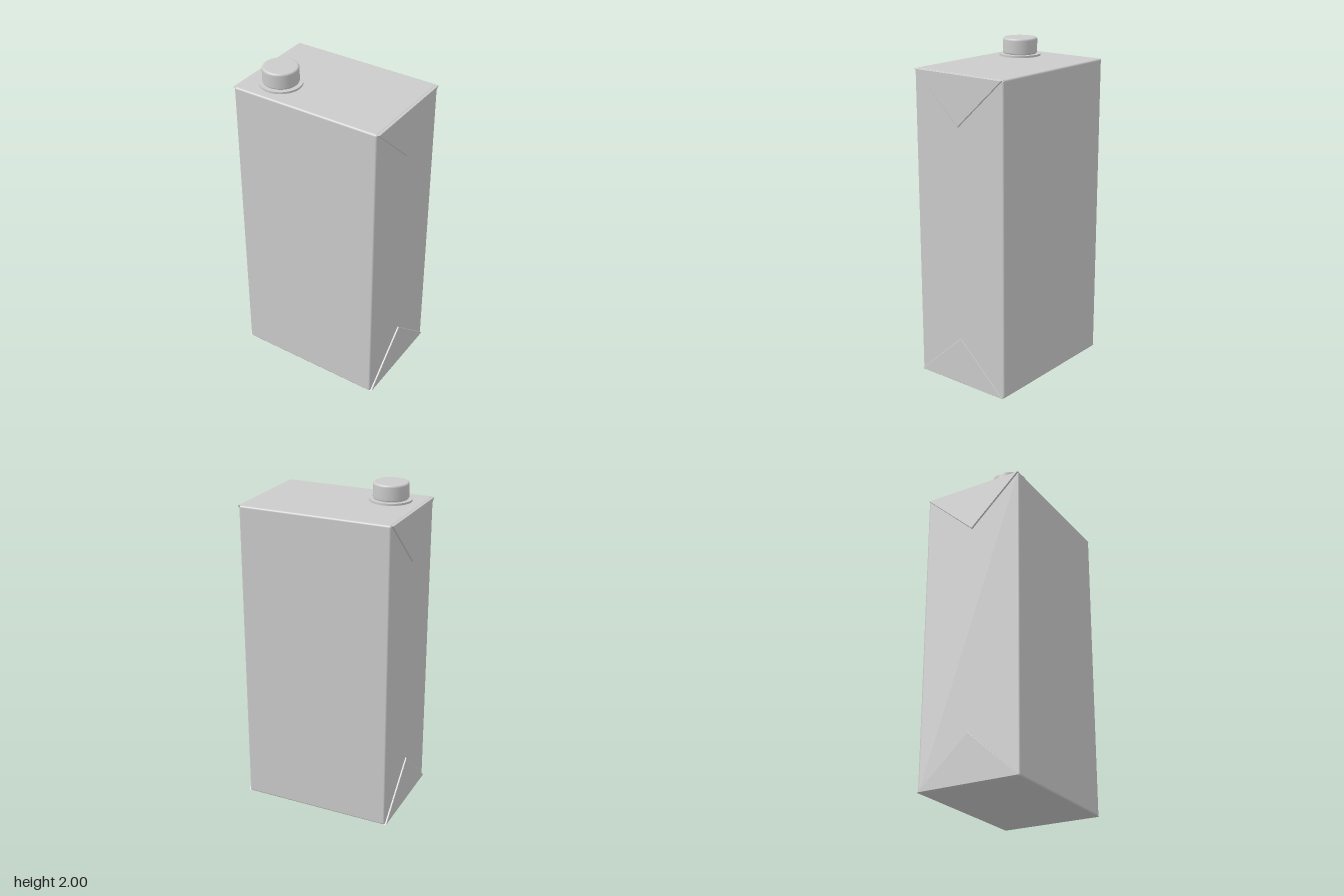
import * as THREE from 'three';
import { RoundedBoxGeometry } from 'three/addons/geometries/RoundedBoxGeometry.js';

const W = 0.93, H = 1.885, D = 0.65, BASE = 0.005;
const material = new THREE.MeshStandardMaterial({ color: 0xcccccc });

function add(parent, geometry, name) {
  const mesh = new THREE.Mesh(geometry, material);
  mesh.name = name;
  parent.add(mesh);
  return mesh;
}

// Triangular folded ear: wide edge at y = 0, tip pointing up, slightly bevelled
function flapGeometry() {
  const b = 0.004;
  const shape = new THREE.Shape();
  shape.moveTo(-D / 2 + 2.4 * b, b);
  shape.lineTo(D / 2 - 2.4 * b, b);
  shape.lineTo(0, 0.3 - 1.4 * b);
  shape.closePath();
  return new THREE.ExtrudeGeometry(shape, {
    depth: 0.012, bevelEnabled: true, bevelThickness: b, bevelSize: b, bevelSegments: 2,
  });
}

export function createModel() {
  const group = new THREE.Group();
  group.name = 'carton';

  // Carton body with softly rounded edges
  const body = add(group, new RoundedBoxGeometry(W, H, D, 4, 0.012), 'body');
  body.position.y = BASE + H / 2;

  // Folded ears at top and bottom of both narrow sides
  const flap = flapGeometry();
  for (const side of [1, -1]) {
    for (const top of [false, true]) {
      const mesh = add(group, flap, `${top ? 'top' : 'bottom'}Flap${side > 0 ? 'Left' : 'Right'}`);
      mesh.rotation.set(0, side * Math.PI / 2, top ? Math.PI : 0);
      mesh.position.set(side * 0.459, top ? BASE + H : BASE, 0);
    }
  }

  // Screw cap near the front right corner of the top
  const spout = new THREE.Group();
  spout.name = 'spout';
  spout.position.set(-0.272, BASE + H, 0.145);
  group.add(spout);

  const flange = add(spout, new THREE.CylinderGeometry(0.125, 0.125, 0.016, 64), 'spoutFlange');
  flange.position.y = 0.004;
  const neck = add(spout, new THREE.CylinderGeometry(0.098, 0.098, 0.03, 64), 'spoutNeck');
  neck.position.y = 0.01;

  // Cap profile with rounded top and bottom rims
  const profile = [new THREE.Vector2(0, 0.016), new THREE.Vector2(0.098, 0.016)];
  const r = 0.105, top = 0.11, f = 0.012;
  profile.push(new THREE.Vector2(r - 0.002, 0.018), new THREE.Vector2(r, 0.023), new THREE.Vector2(r, top - f - 0.002));
  for (let i = 0; i <= 5; i++) {
    const a = (i / 5) * Math.PI / 2;
    profile.push(new THREE.Vector2(r - f + f * Math.cos(a), top - f + f * Math.sin(a)));
  }
  profile.push(new THREE.Vector2(r - f - 0.003, top), new THREE.Vector2(0, top));
  add(spout, new THREE.LatheGeometry(profile, 64), 'cap');

  return group;
}
